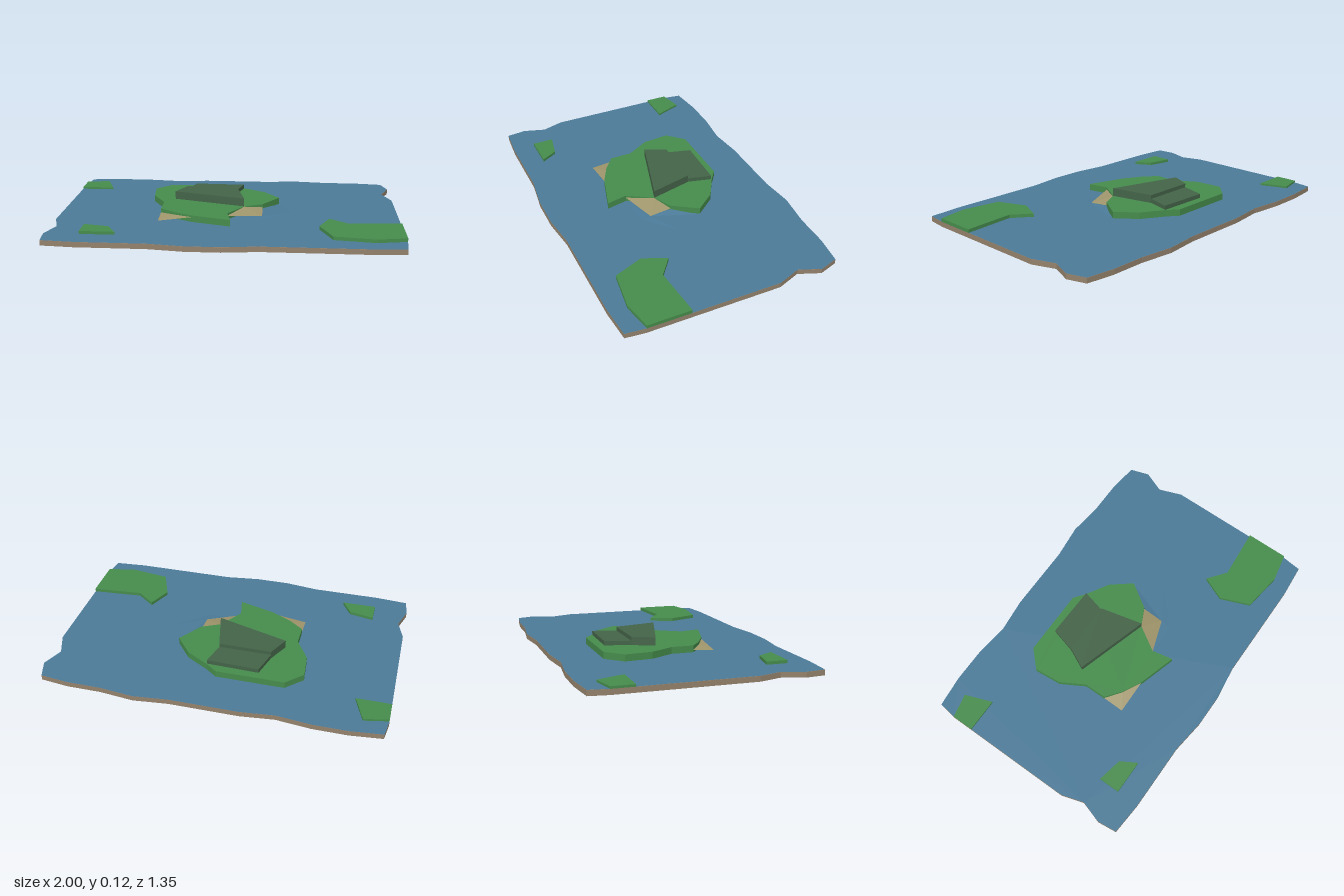
import * as THREE from 'three';

const mat = (color, side = THREE.FrontSide) =>
  new THREE.MeshStandardMaterial({ color, flatShading: true, side });
const earth = mat(0x94826c);
const water = mat(0x4b7a98);
const grass = mat(0x468c4c);
const hill = mat(0x446448);
const sand = mat(0xa0966c, THREE.DoubleSide);
const shoal = mat(0x4b7a98, THREE.DoubleSide);

// Plan outlines are [x, z] pairs
const outline = (pts) => new THREE.Shape(pts.map(([x, z]) => new THREE.Vector2(x, -z)));

function add(group, name, geometry, material) {
  const mesh = new THREE.Mesh(geometry, material);
  mesh.name = name;
  group.add(mesh);
}

// Flat-topped slab between two heights
function slab(pts, y0, y1) {
  return new THREE.ExtrudeGeometry(outline(pts), { depth: y1 - y0, bevelEnabled: false })
    .rotateX(-Math.PI / 2).translate(0, y0, 0);
}

// Sloping sheet: a fan of triangles over [x, y, z] corners
function sheet(pts) {
  const v = [];
  for (let i = 1; i < pts.length - 1; i++) v.push(...pts[0], ...pts[i + 1], ...pts[i]);
  const g = new THREE.BufferGeometry();
  g.setAttribute('position', new THREE.Float32BufferAttribute(v, 3));
  g.computeVertexNormals();
  return g;
}

export function createModel() {
  const model = new THREE.Group();
  model.name = 'islandMap';
  const sea = 0.031;

  // Ragged base board with the sea on top
  const board = [
    [-0.985, -0.635], [-0.8, -0.655], [-0.6, -0.655], [-0.4, -0.633], [-0.2, -0.655],
    [0.2, -0.655], [0.4, -0.677], [0.6, -0.655], [0.8, -0.655], [0.965, -0.635],
    [1, -0.525], [0.95, -0.4], [1, -0.265], [1, 0.515], [0.987, 0.633],
    [0.8, 0.648], [0.2, 0.648], [0, 0.674], [-0.2, 0.674], [-0.4, 0.648],
    [-0.8, 0.648], [-0.987, 0.633], [-1, 0.52], [-0.96, 0.39], [-1, 0.26], [-1, -0.525],
  ];
  add(model, 'baseBoard', slab(board, 0, 0.03), earth);
  const surface = new THREE.ShapeGeometry(outline(board)).rotateX(-Math.PI / 2);
  add(model, 'seaSurface', surface.translate(0, sea, 0), water);

  // Main island
  add(model, 'mainIsland', slab([
    [-0.4, -0.395], [0, -0.395], [0.065, -0.345], [0.2, -0.265], [0.295, -0.145],
    [0.2, 0], [0.09, 0.055], [0, 0.2], [0.025, 0.325], [-0.2, 0.258],
    [-0.31, 0.2], [-0.4, 0.13], [-0.4, 0], [-0.48, -0.14], [-0.495, -0.3],
  ], 0.03, 0.07), grass);

  // Two hill terraces
  add(model, 'lowerHill', slab(
    [[-0.24, -0.348], [0.065, -0.34], [0.03, -0.2], [-0.28, -0.2]], 0.07, 0.095), hill);
  add(model, 'upperHill', slab(
    [[-0.28, -0.2], [0.03, -0.2], [0.09, 0.055], [-0.34, -0.075]], 0.07, 0.118), hill);

  // Beaches sloping into the sea
  add(model, 'leftBeach', sheet([
    [-0.4, 0.034, 0.257], [-0.2, 0.06, 0.257], [-0.31, 0.055, 0.2], [-0.4, 0.045, 0.13],
  ]), sand);
  add(model, 'rightBeach', sheet([
    [0.2, 0.036, 0.13], [0.2, 0.05, 0], [0.09, 0.068, 0.055], [0, 0.055, 0.2],
  ]), sand);

  // Shallow rise of water beside the right beach
  add(model, 'shoal', sheet([
    [0.2, 0.035, 0.13], [0.01, sea, 0.2], [0.2, sea, 0.19], [0.38, sea, 0.03],
    [0.295, 0.032, -0.13], [0.2, 0.045, 0],
  ]), shoal);

  // Small outlying islands
  const islets = [
    ['backLeftIslet', 0.043, [[-1, -0.525], [-0.86, -0.555], [-0.8, -0.395], [-1, -0.395]]],
    ['frontLeftIslet', 0.048, [[-0.8, 0.39], [-0.655, 0.42], [-0.6, 0.515], [-0.8, 0.515]]],
    ['rightIslet', 0.051, [[0.59, 0.2], [0.7, 0.285], [1, 0.26], [1, 0.515],
      [0.83, 0.548], [0.6, 0.515], [0.53, 0.34]]],
  ];
  for (const [name, top, pts] of islets) add(model, name, slab(pts, 0.03, top), grass);

  return model;
}
